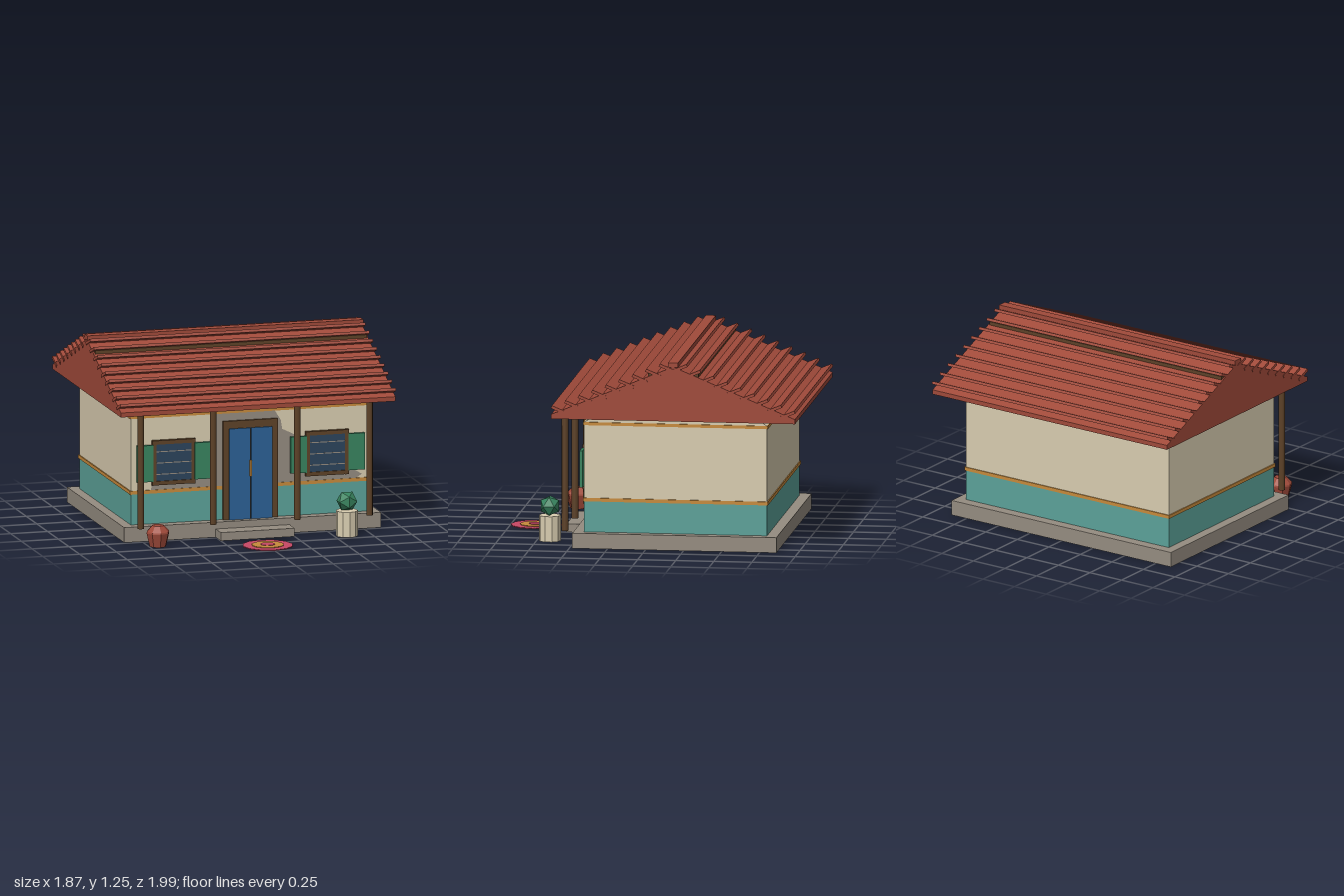
import * as THREE from 'three';

const mat = (name, color, extra = {}) => {
  const m = new THREE.MeshStandardMaterial({ color, ...extra });
  m.name = name;
  return m;
};

export function createModel() {
  const house = new THREE.Group();
  house.name = 'house';

  const cream = mat('cream plaster', 0xd9cdb0, { flatShading: true });
  const teal = mat('teal paint', 0x5ca299);
  const gold = mat('ochre trim', 0xc78a3c);
  const stone = mat('grey stone', 0x958c80);
  const wood = mat('dark wood', 0x5e4228);
  const blue = mat('blue door paint', 0x2b6196);
  const glass = mat('dark glass', 0x2c445c);
  const green = mat('green', 0x38845f, { flatShading: true });
  const tile = mat('red clay', 0xa04a3a, { flatShading: true });
  const pink = mat('pink weave', 0xc84866);

  const add = (name, geo, material, x = 0, y = 0, z = 0, parent = house) => {
    const m = new THREE.Mesh(geo, material);
    m.name = name;
    m.position.set(x, y, z);
    parent.add(m);
    return m;
  };
  // Box given by its extents
  const box = (name, material, x0, x1, y0, y1, z0, z1, parent = house) =>
    add(name, new THREE.BoxGeometry(x1 - x0, y1 - y0, z1 - z0), material,
      (x0 + x1) / 2, (y0 + y1) / 2, (z0 + z1) / 2, parent);
  // Prism along x from a (z, y) outline
  const prism = (name, material, outline, width) => {
    const shape = new THREE.Shape(outline.map(p => new THREE.Vector2(...p)));
    const geo = new THREE.ExtrudeGeometry(shape, { depth: width, bevelEnabled: false });
    geo.translate(0, 0, -width / 2).rotateY(-Math.PI / 2);
    return add(name, geo, material);
  };

  // Foundation and front step
  box('foundation', stone, -0.87, 0.87, 0, 0.1, -0.86, 0.48);
  box('frontStep', stone, -0.25, 0.25, 0, 0.055, 0.47, 0.6);

  // Walls: painted base, plastered upper part with gables, ochre bands
  box('lowerWall', teal, -0.805, 0.805, 0.1, 0.31, -0.79, 0.41);
  prism('upperWall', cream,
    [[0.41, 0.31], [0.41, 0.825], [-0.19, 1.18], [-0.79, 0.825], [-0.79, 0.31]], 1.61);
  box('lowerBand', gold, -0.812, 0.812, 0.302, 0.325, -0.797, 0.417);
  box('upperBand', gold, -0.812, 0.812, 0.805, 0.825, -0.797, 0.417);

  // Worn plaster around the door and below the windows
  const worn = new THREE.Shape([
    [-0.67, 0.325], [0.72, 0.325], [0.76, 0.35], [0.7, 0.385], [0.4, 0.4], [0.3, 0.64],
    [0.22, 0.68], [0.21, 0.74], [0.17, 0.805], [-0.26, 0.805], [-0.27, 0.75],
    [-0.24, 0.73], [-0.24, 0.68], [-0.27, 0.64], [-0.35, 0.4], [-0.66, 0.38],
  ].map(p => new THREE.Vector2(...p)));
  add('wornPlaster', new THREE.ShapeGeometry(worn), stone, 0, 0, 0.413);

  // Double door
  const door = new THREE.Group();
  door.name = 'door';
  house.add(door);
  box('doorFrame', wood, -0.185, 0.185, 0.1, 0.755, 0.4, 0.43, door);
  for (const s of [-1, 1]) {
    box('doorLeaf', blue, Math.min(s * 0.003, s * 0.145), Math.max(s * 0.003, s * 0.145),
      0.1, 0.705, 0.41, 0.44, door);
  }
  box('doorHandle', gold, -0.008, 0.006, 0.385, 0.49, 0.43, 0.45, door);

  // Windows with slats and shutters
  for (const s of [-1, 1]) {
    const win = new THREE.Group();
    win.name = 'window';
    win.position.x = s * 0.52;
    house.add(win);
    box('windowGlass', glass, -0.125, 0.125, 0.38, 0.635, 0.41, 0.43, win);
    for (const y of [0.43, 0.505, 0.58]) {
      box('windowSlat', stone, -0.12, 0.12, y - 0.003, y + 0.003, 0.425, 0.431, win);
    }
    for (const t of [-1, 1]) {
      const c = t * 0.133;
      box('windowJamb', wood, c - 0.0135, c + 0.0135, 0.358, 0.655, 0.41, 0.438, win);
      const y = 0.507 + t * 0.135;
      box('windowRail', wood, -0.12, 0.12, y - 0.013, y + 0.013, 0.41, 0.438, win);
      const sh = t * 0.195;
      box('shutter', green, sh - 0.055, sh + 0.055, 0.385, 0.628, 0.425, 0.445, win);
    }
  }

  // Porch posts
  for (const x of [-0.775, -0.285, 0.285, 0.775]) {
    add('porchPost', new THREE.CylinderGeometry(0.022, 0.022, 0.78, 8), wood, x, 0.49, 0.54);
  }

  // Roof body and ridge cap
  const ridgeZ = -0.19;
  prism('roofBody', tile,
    [[0.61, 0.862], [0.61, 0.892], [ridgeZ, 1.222], [-0.99, 0.892], [-0.99, 0.862]], 1.86);
  box('ridgeCap', tile, -0.935, 0.935, 1.22, 1.25, ridgeZ - 0.033, ridgeZ + 0.033);

  // Upturned tile rows and a purlin on both slopes
  for (const s of [-1, 1]) {
    for (let i = 0; i < 9; i++) {
      const d = 0.75 - i * 0.0885; // distance from the ridge
      const row = add('tileRow', new THREE.BoxGeometry(1.866, 0.019, 0.106), tile,
        0, 1.23 - d * 0.4125, ridgeZ + s * d);
      row.rotation.x = -s * 0.39;
    }
    add('roofPurlin', new THREE.BoxGeometry(1.84, 0.04, 0.03), wood, 0, 1.157, ridgeZ + s * 0.15);
  }

  // Clay urn
  const urn = [[0, 0], [0.055, 0], [0.077, 0.09], [0.075, 0.1], [0.04, 0.14], [0, 0.14]]
    .map(p => new THREE.Vector2(...p));
  add('clayUrn', new THREE.LatheGeometry(urn, 8), tile, -0.69, 0, 0.647);

  // Planter with a round shrub
  add('planter', new THREE.CylinderGeometry(0.072, 0.072, 0.168, 10), cream, 0.585, 0.084, 0.665);
  add('shrub', new THREE.IcosahedronGeometry(0.07, 0), green, 0.585, 0.23, 0.665);

  // Round woven mat made of stacked discs
  [[0.167, pink, 0.006], [0.107, gold, 0.009], [0.048, pink, 0.012]].forEach(([r, m, h]) => {
    const disc = add('matRing', new THREE.CylinderGeometry(r, r, h, 12), m, 0, h / 2, 0.832);
    disc.position.y += r < 0.16 ? 0.001 : 0;
  });

  return house;
}
